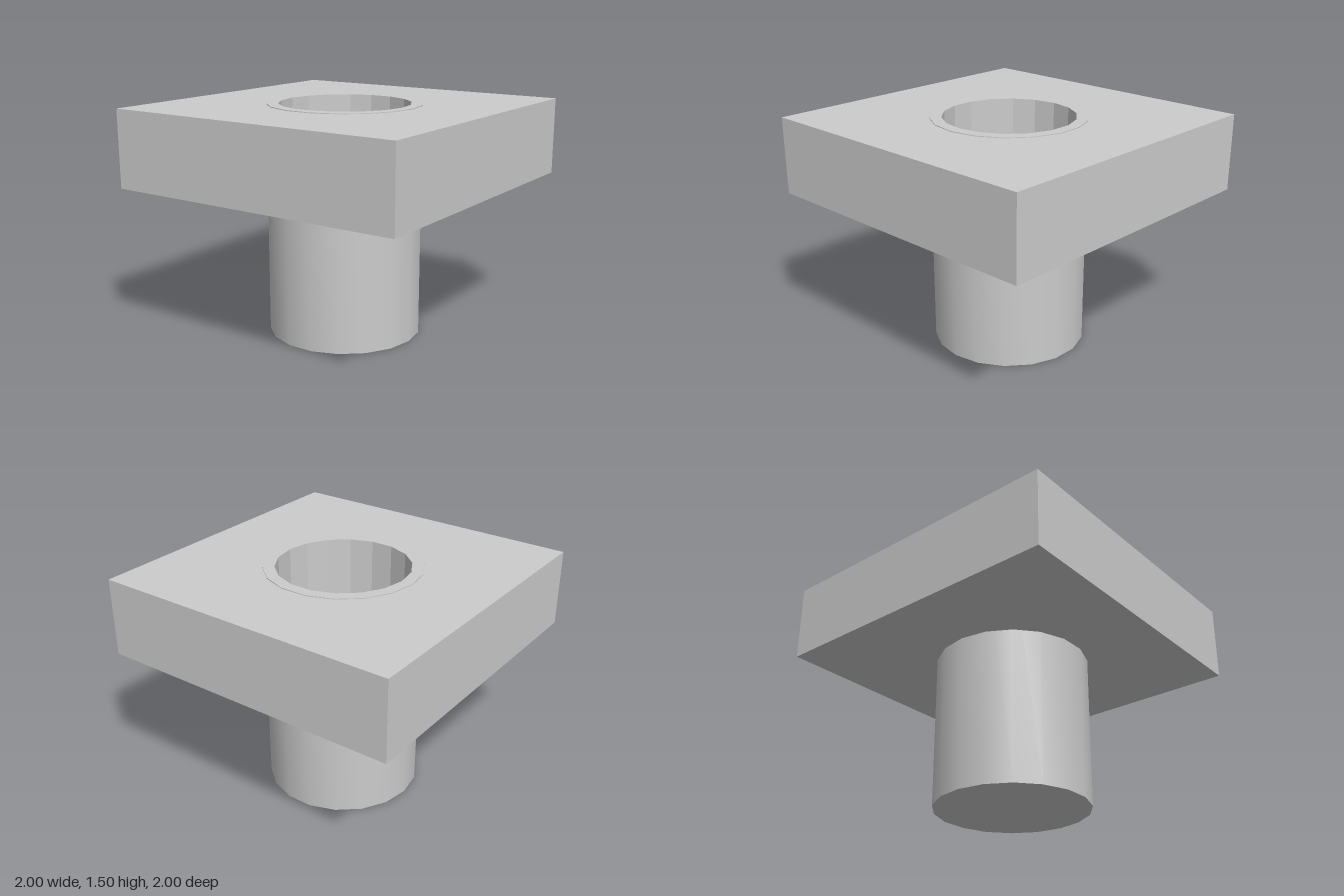
import * as THREE from 'three';
import { toCreasedNormals } from 'three/addons/utils/BufferGeometryUtils.js';

const SIDES = 18, OUTER = 0.5, INNER = 0.425, RIM = 1.505, FLOOR = 0.075;

// Turned surface with a corner on the x axis
function turned(points) {
  const profile = points.map(([r, y]) => new THREE.Vector2(r, y));
  return new THREE.LatheGeometry(profile, SIDES, Math.PI / 2);
}

export function createModel() {
  const model = new THREE.Group();
  const smooth = new THREE.MeshStandardMaterial({ color: 0xcccccc });
  const flat = new THREE.MeshStandardMaterial({ color: 0xcccccc, flatShading: true });

  const add = (name, geometry, material) => {
    const mesh = new THREE.Mesh(geometry, material);
    mesh.name = name;
    model.add(mesh);
    return mesh;
  };

  // Square plate with an opening for the tube
  const square = new THREE.Shape([[-1, -1], [1, -1], [1, 1], [-1, 1]]
    .map(([x, y]) => new THREE.Vector2(x, y)));
  const opening = [];
  for (let i = 0; i < SIDES; i++) {
    const a = -i / SIDES * Math.PI * 2;
    opening.push(new THREE.Vector2(Math.cos(a) * OUTER, Math.sin(a) * OUTER));
  }
  square.holes.push(new THREE.Path(opening));
  const slab = new THREE.ExtrudeGeometry(square, { depth: 0.5, bevelEnabled: false });
  slab.rotateX(-Math.PI / 2);
  slab.translate(0, 1, 0);
  add('squarePlate', slab, flat);

  // Tube outside: closed base, wall and thin rim just above the plate
  const shell = turned([[0, 0], [OUTER, 0], [OUTER, RIM], [INNER, RIM]]);
  add('tubeShell', toCreasedNormals(shell, 0.6), smooth);

  // Tube inside: faceted bore and its floor
  add('tubeBore', turned([[INNER, RIM], [INNER, FLOOR], [0, FLOOR]]), flat);

  return model;
}
